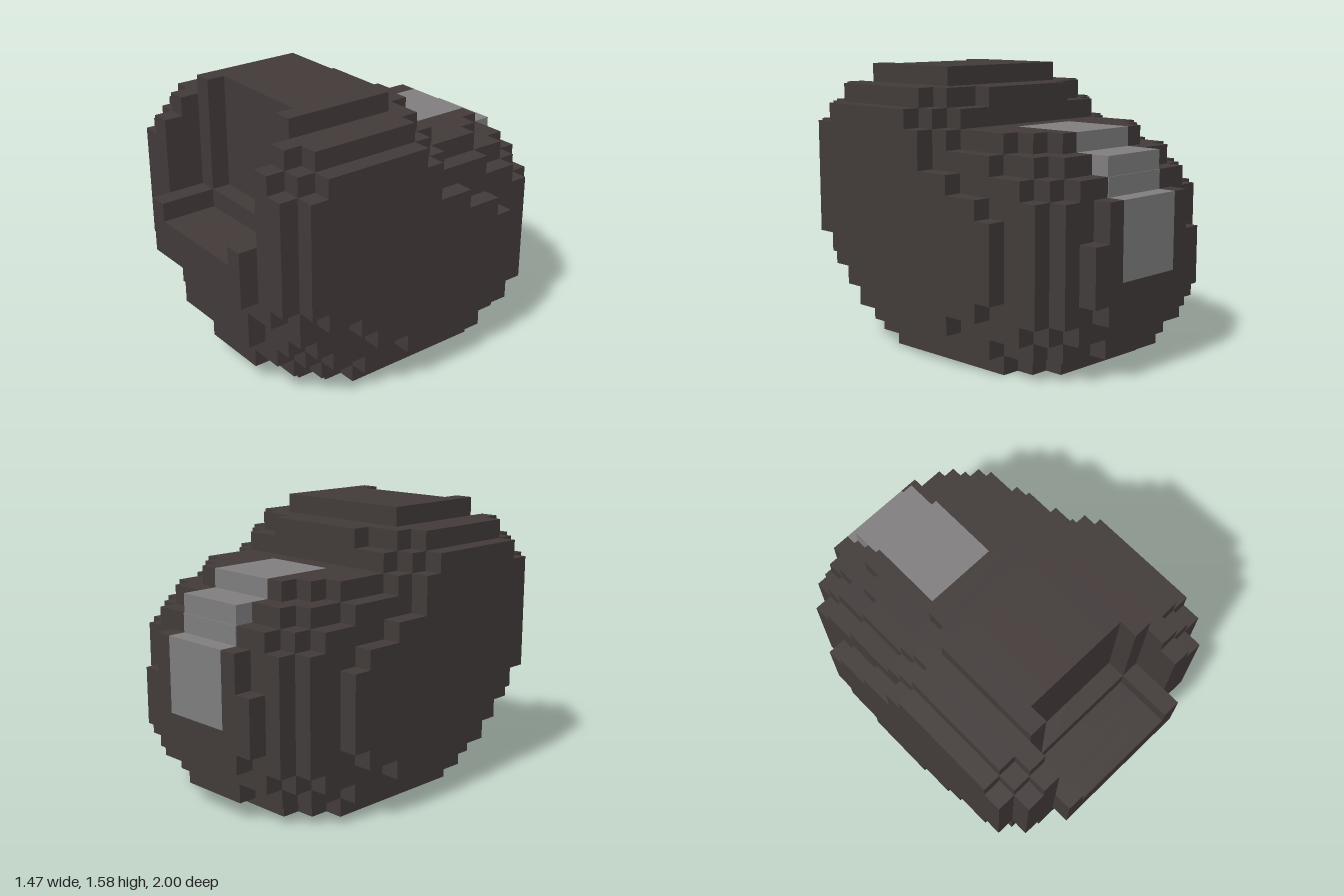
import * as THREE from 'three';

const V = 2 / 19; // size of one block

// Blocks stepped away from a flat run after d columns of a rounded corner
const steps = (d, bend) => (d > 0 ? Math.round(0.6 * d + bend * d * d) : 0);

// Top of a layer, in blocks, at column z
function topAt(l, z) {
  // sunken front opening with a low floor and a sill behind it
  if (l.x0 < 4 && z > 6) return l.x0 < 3 ? 8 : 9;
  if (l.x0 < 3 && z === 6) return 9;
  // raised crown, stepping down one block per column at both ends
  if (z >= l.join) return l.cap - Math.max(0, z - l.crown[0], l.crown[1] - z);
  // lower rear part; the seat leaves room for the stripe
  const seat = z < -2 ? l.seat : 0;
  return l.rear - steps(l.rearEnd - z, l.bend) - seat;
}

// Underside of a layer, rounded towards front and back
const bottomAt = (l, z) => l.base + steps(Math.max(z - l.belly[0], l.belly[1] - z), l.bend);

// Stepped side profile extruded across x from a to b
function layerGeometry(l, a, b) {
  const trace = (heightAt) => {
    let y = heightAt(l, l.front);
    const pts = [new THREE.Vector2(-(l.front + 0.5), y)];
    for (let z = l.front - 1; z >= l.back; z--) {
      const next = heightAt(l, z);
      if (next !== y) pts.push(new THREE.Vector2(-(z + 0.5), y), new THREE.Vector2(-(z + 0.5), next));
      y = next;
    }
    pts.push(new THREE.Vector2(-(l.back - 0.5), y));
    return pts;
  };
  const shape = new THREE.Shape([...trace(bottomAt), ...trace(topAt).reverse()]);
  const geo = new THREE.ExtrudeGeometry(shape, { depth: b - a, bevelEnabled: false });
  return geo.rotateY(Math.PI / 2).translate(a, 0, 0).scale(V, V, V);
}

// Box between two corners, in blocks
function boxGeometry([x0, x1], [y0, y1], [z0, z1]) {
  const geo = new THREE.BoxGeometry(x1 - x0, y1 - y0, z1 - z0);
  return geo.translate((x0 + x1) / 2, (y0 + y1) / 2, (z0 + z1) / 2).scale(V, V, V);
}

// Shell layers from the middle outwards
const layers = [
  { name: 'centreShell', x0: 0, x1: 2, front: 7, back: -8, cap: 15, crown: [6, 1], join: -1,
    rear: 12, rearEnd: -6, base: 0, belly: [5, -6], bend: 0.065, seat: 1 },
  { name: 'innerShell', x0: 2, x1: 3, front: 7, back: -8, cap: 15, crown: [6, 1], join: -1,
    rear: 12, rearEnd: -6, base: 0, belly: [5, -6], bend: 0.1, seat: 0 },
  { name: 'openingFrame', x0: 3, x1: 4, front: 7, back: -8, cap: 15, crown: [6, 1], join: -1,
    rear: 12, rearEnd: -5, base: 0, belly: [4, -5], bend: 0.065, seat: 0 },
  { name: 'cheek', x0: 4, x1: 5, front: 8, back: -8, cap: 14, crown: [7, 0], join: -1,
    rear: 12, rearEnd: -4, base: 0, belly: [3, -4], bend: 0.065, seat: 0 },
  { name: 'outerCheek', x0: 5, x1: 6, front: 8, back: -7, cap: 14, crown: [6, 1], join: -1,
    rear: 11, rearEnd: -4, base: 1, belly: [3, -4], bend: 0.065, seat: 0 },
  { name: 'sidePanel', x0: 6, x1: 7, front: 7, back: -5, cap: 13, crown: [6, 1], join: 0,
    rear: 10, rearEnd: -2, base: 2, belly: [1, -2], bend: 0.01, seat: 0 },
];

export function createModel() {
  const group = new THREE.Group();
  const shell = new THREE.MeshStandardMaterial({ color: 0x423b3a });
  shell.name = 'dark shell';
  const grey = new THREE.MeshStandardMaterial({ color: 0x807e7f });
  grey.name = 'grey stripe';

  const add = (name, geo, mat) => {
    const mesh = new THREE.Mesh(geo, mat);
    mesh.name = name;
    group.add(mesh);
  };
  const box = (name, x, y, z, mat = shell) => add(name, boxGeometry(x, y, z), mat);
  const boxPair = (name, [a, b], y, z) => {
    box(name + 'Left', [a, b], y, z);
    box(name + 'Right', [-b, -a], y, z);
  };

  // Shell
  for (const l of layers) {
    add(l.name + 'Left', layerGeometry(l, l.x0, l.x1), shell);
    add(l.name + 'Right', layerGeometry(l, -l.x1, -l.x0), shell);
  }
  box('crownRidge', [-3, 3], [13, 14], [-1.5, -0.5]);

  // Chin and lip below the front opening
  box('chin', [-3, 3], [3, 8], [7.5, 8.5]);
  box('lip', [-3, 3], [6, 8], [8.5, 9.5]);
  boxPair('chinCorner', [3, 4], [5, 9], [7.5, 8.5]);
  boxPair('lipCorner', [3, 4], [6, 9], [8.5, 9.5]);

  // Raised pad at the back
  box('backPad', [-2, 2], [3, 5], [-9.5, -8.5]);
  boxPair('backPadSide', [2, 3], [3, 9], [-9.5, -8.5]);
  boxPair('backPadEdge', [3, 4], [4, 7], [-9.5, -8.5]);

  // Stripe over the top and down the back
  box('stripeTop', [-2, 2], [11, 12], [-6.5, -2.5], grey);
  box('stripeStep', [-2, 2], [10, 11], [-8.5, -6.5], grey);
  box('stripeRiser', [-2, 2], [9, 10], [-8.55, -8.5], grey);
  box('stripeBack', [-2, 2], [5, 9], [-9.5, -8.5], grey);
  return group;
}
